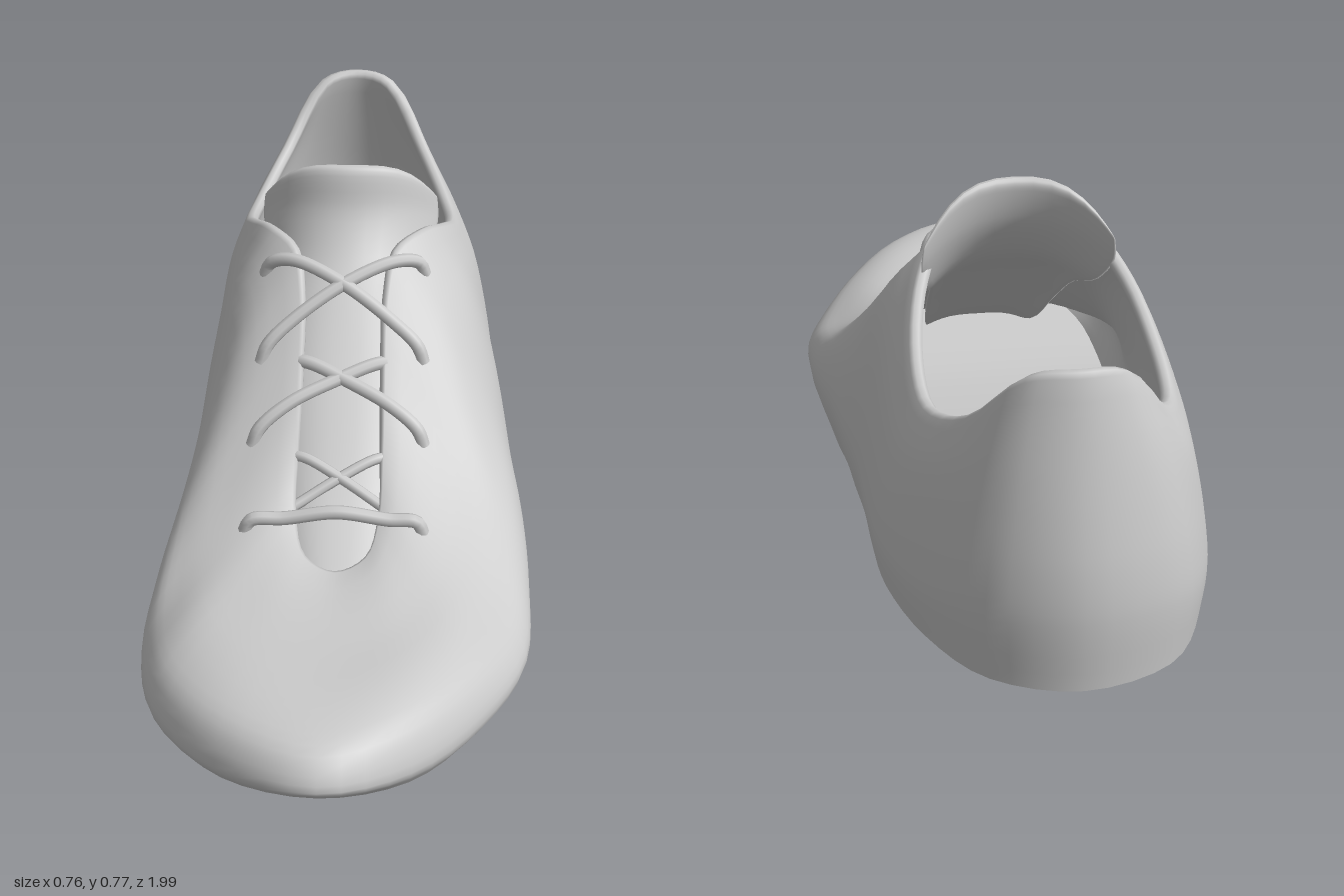
import * as THREE from 'three';

const material = new THREE.MeshStandardMaterial({ color: 0xcccccc, roughness: 0.8, side: THREE.DoubleSide });
const V = (x, y, z) => new THREE.Vector3(x, y, z);

// Half stations from heel to toe:
// sole edge [half width, y, z, centre x], top line [half width, y, z], blend of side profiles
const STATIONS = [
  [[0, 0.125, -0.99, -0.015], [0, 0.69, -0.925], 0.8],
  [[0.16, 0.124, -0.93, -0.02], [0.09, 0.675, -0.895], 0.5],
  [[0.25, 0.12, -0.78, -0.015], [0.175, 0.555, -0.78], 0],
  [[0.295, 0.118, -0.6, -0.005], [0.23, 0.495, -0.62], 0],
  [[0.305, 0.112, -0.45, -0.003], [0.238, 0.52, -0.48], 0],
  [[0.305, 0.1, -0.3, 0], [0.215, 0.59, -0.32], 0],
  [[0.31, 0.08, -0.15, 0.004], [0.17, 0.637, -0.2], 0],
  [[0.312, 0.05, 0, 0.007], [0.112, 0.627, -0.12], 0.2],
  [[0.325, 0.027, 0.15, 0.008], [0.092, 0.56, -0.03], 0.6],
  [[0.34, 0.008, 0.32, 0], [0.09, 0.445, 0.1], 1],
  [[0.34, 0.002, 0.5, -0.01], [0.09, 0.35, 0.22], 1],
  [[0.29, 0.03, 0.69, -0.03], [0.085, 0.272, 0.34], 1.4],
  [[0.17, 0.075, 0.87, -0.03], [0.06, 0.238, 0.42], 1.8],
  [[0, 0.125, 0.97, -0.02], [0, 0.225, 0.45], 2],
];

// Side profiles as [inward fraction, upward fraction]: rear, forefoot, toe
const PROFILES = [
  [[0, 0], [-0.14, 0.2], [-0.08, 0.35], [0.1, 0.55], [0.45, 0.8], [1, 1]],
  [[0, 0], [-0.14, 0.25], [-0.06, 0.4], [0.15, 0.53], [0.5, 0.71], [1, 1]],
  [[0, 0], [-0.04, 0.3], [0.03, 0.8], [0.22, 0.98], [0.6, 0.93], [1, 1]],
];
const N = 104, M = 20, TOP_X = -0.012;

// Skin over rows of points; closed rows wrap around
function skin(rows, closed, flip = false) {
  const n = rows[0].length, index = [];
  for (let j = 0; j < rows.length - 1; j++) {
    for (let i = 0; i < (closed ? n : n - 1); i++) {
      const a = j * n + i, b = j * n + (i + 1) % n, c = b + n, d = a + n;
      if (flip) index.push(a, b, d, b, c, d);
      else index.push(a, d, b, b, d, c);
    }
  }
  const g = new THREE.BufferGeometry().setFromPoints(rows.flat());
  g.setIndex(index);
  g.computeVertexNormals();
  return g;
}

function profilePoint(blend, k) {
  const p = Math.min(Math.floor(blend), 1), f = blend - p;
  return [0, 1].map(c => THREE.MathUtils.lerp(PROFILES[p][k][c], PROFILES[p + 1][k][c], f));
}

// Rows of the outer skin, sole edge to top line
function outerRows() {
  const rings = PROFILES[0].map((_, k) => {
    const point = ([s, t, blend], side) => {
      const [h, v] = profilePoint(blend, k), L = THREE.MathUtils.lerp;
      return V(L(s[3] + side * s[0], TOP_X + side * t[0], h), L(s[1], t[1], v), L(s[2], t[2], h));
    };
    const left = STATIONS.map(s => point(s, 1));
    const right = STATIONS.slice(1, -1).reverse().map(s => point(s, -1));
    const curve = new THREE.CatmullRomCurve3([...left, ...right], true);
    return Array.from({ length: N }, (_, i) => curve.getPoint(i / N));
  });
  const columns = rings[0].map((_, i) => new THREE.CatmullRomCurve3(rings.map(r => r[i])).getPoints(M));
  return Array.from({ length: M + 1 }, (_, j) => columns.map(c => c[j]));
}

// Flat-across floor spanning the two halves of a ring
function floorRows(ring) {
  return Array.from({ length: N / 2 + 1 }, (_, j) =>
    Array.from({ length: 9 }, (_, i) => ring[j].clone().lerp(ring[(N - j) % N], i / 8)));
}

// Tongue: flattened rings following [z, y, half width, side drop, side sweep back, half thickness]
function tongueGeometry() {
  const stations = [
    [0.47, 0.195, 0.08, 0.02, 0, 0.008], [0.3, 0.262, 0.12, 0.035, 0, 0.014], [0.1, 0.415, 0.14, 0.045, 0, 0.014],
    [-0.05, 0.53, 0.15, 0.05, 0.02, 0.014], [-0.14, 0.6, 0.17, 0.05, 0.08, 0.015], [-0.2, 0.68, 0.188, 0.06, 0.09, 0.015],
    [-0.222, 0.755, 0.186, 0.095, 0.08, 0.015], [-0.227, 0.77, 0.184, 0.1, 0.075, 0.01], [-0.23, 0.775, 0.18, 0.1, 0.07, 0],
  ];
  const rows = stations.map(([z, y, w, drop, sweep, th], j) => {
    const p = stations[Math.max(j - 1, 0)], q = stations[Math.min(j + 1, stations.length - 1)];
    const dz = q[0] - p[0], dy = q[1] - p[1], len = Math.hypot(dz, dy);
    return Array.from({ length: 32 }, (_, i) => {
      const a = i / 32 * Math.PI * 2, s = Math.cos(a), off = th * Math.sin(a);
      return V(TOP_X / 2 + w * s, y - drop * Math.abs(s) ** 3 - off * dz / len, z - sweep * s * s + off * dy / len);
    });
  });
  // Smooth along the length
  const columns = rows[0].map((_, i) => new THREE.CatmullRomCurve3(rows.map(r => r[i])).getPoints(32));
  return skin(Array.from({ length: 33 }, (_, j) => columns.map(c => c[j])), true);
}

export function createModel() {
  const group = new THREE.Group();
  const add = (name, geometry) => {
    const mesh = new THREE.Mesh(geometry, material);
    mesh.name = name;
    group.add(mesh);
    return mesh;
  };

  // Upper: outer skin, rolled rim and lining in one surface
  const outer = outerRows(), r = 0.014;
  const normals = skin(outer, true).attributes.normal;
  const normal = (j, i) => new THREE.Vector3().fromBufferAttribute(normals, j * N + i);
  const rows = [...outer];
  for (let step = 1; step <= 4; step++) {
    const a = step * Math.PI / 4;
    rows.push(outer[M].map((p, i) => {
      const up = p.clone().sub(outer[M - 1][i]).normalize();
      return p.clone().addScaledVector(normal(M, i), -r * (1 - Math.cos(a))).addScaledVector(up, r * Math.sin(a));
    }));
  }
  for (let j = M - 1; j >= 0; j--) {
    rows.push(outer[j].map((p, i) => p.clone().addScaledVector(normal(j, i), -2 * r)));
  }
  const upper = add('upper', skin(rows, true));

  add('sole', skin(floorRows(outer[0]), false, true));
  add('insole', skin(floorRows(rows[rows.length - 1]), false));
  add('tongue', tongueGeometry());

  // Height of the upper under a lace
  const ray = new THREE.Raycaster();
  const height = (x, z) => {
    ray.set(V(x, 2, z), V(0, -1, 0));
    const hit = ray.intersectObject(upper)[0];
    return hit ? hit.point.y : 0.4;
  };

  // Each lace end is [x, z, over]: over the upper or tucked beneath its edge
  const lace = (a, b) => {
    const end = ([x, z, over], other) => {
      const edgeX = x < 0 ? -0.115 : 0.092;
      const zAt = px => z + (other[1] - z) * (px - x) / (other[0] - x);
      if (!over) return [V(x, height(x, z) - 0.035, z), V(edgeX * 0.75, height(edgeX, zAt(edgeX)) - 0.018, zAt(edgeX * 0.75))];
      const nearX = x * 0.92;
      return [
        V(x, height(x, z) - 0.012, z),
        V(nearX, height(nearX, zAt(nearX)) + 0.014, zAt(nearX)),
        V(edgeX, height(edgeX, zAt(edgeX)) + 0.016, zAt(edgeX)),
      ];
    };
    const p = end(a, b), q = end(b, a).reverse();
    const middle = p[p.length - 1].clone().lerp(q[0], 0.5);
    middle.y += a[2] && b[2] ? 0.016 : 0.006;
    const path = new THREE.CatmullRomCurve3([...p, middle, ...q]);
    add('lace', new THREE.TubeGeometry(path, 40, a[2] || b[2] ? 0.014 : 0.011, 8));
  };
  lace([-0.18, -0.12, true], [0.155, 0.04, true]);
  lace([0.155, -0.12, true], [-0.18, 0.04, true]);
  lace([-0.19, 0.18, true], [0.11, 0.04, false]);
  lace([0.158, 0.18, true], [-0.13, 0.04, false]);
  lace([-0.13, 0.31, false], [0.11, 0.2, false]);
  lace([0.11, 0.31, false], [-0.13, 0.2, false]);
  lace([-0.195, 0.355, true], [0.16, 0.355, true]);

  return group;
}
